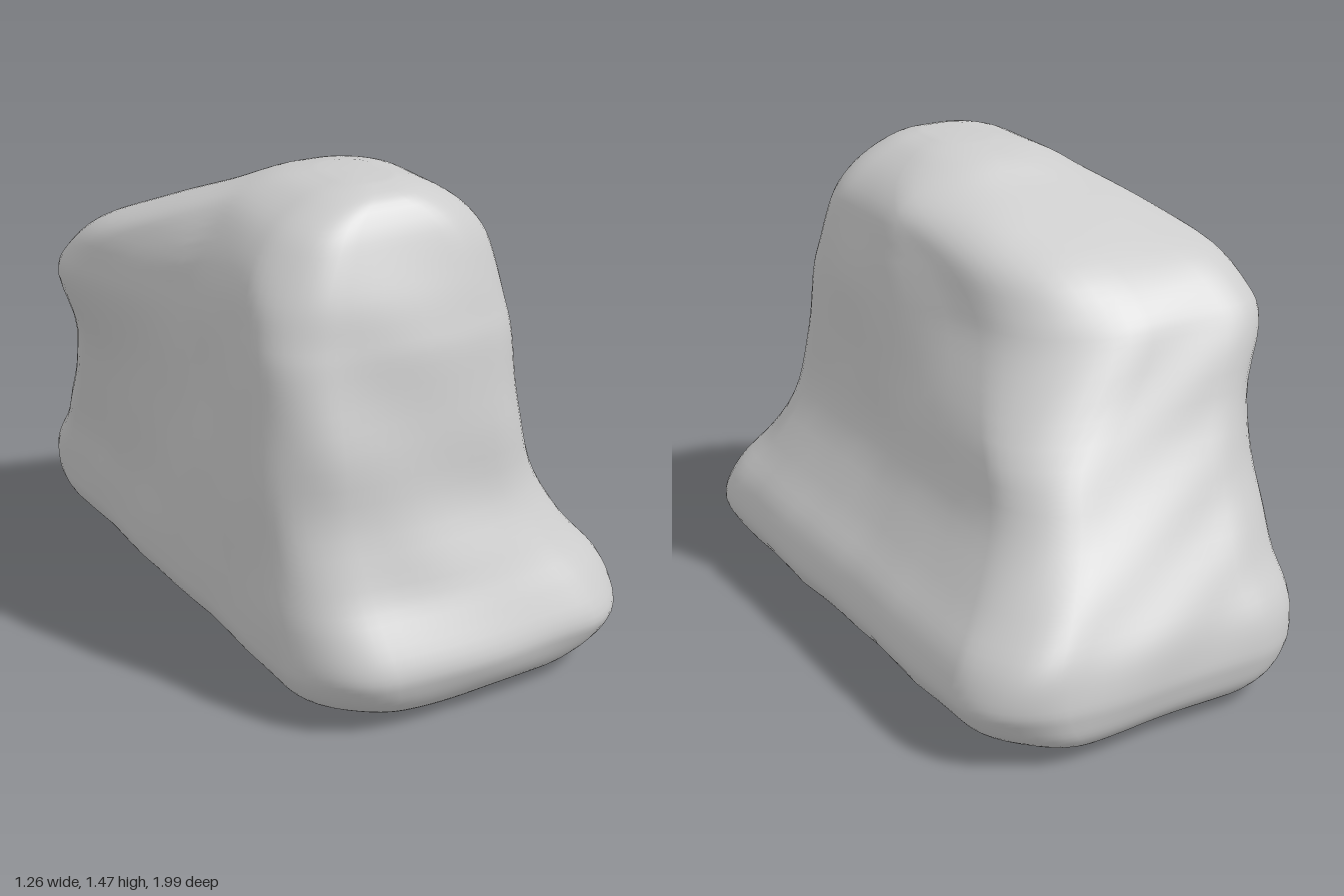
import * as THREE from 'three';
import { mergeVertices } from 'three/addons/utils/BufferGeometryUtils.js';

// Horizontal sections: y, xMin, xMax, zMin, zMax, corner radius, rear lean
const SECTIONS = [
  [0.022, -0.28, 0.34, -0.82, 0.82, 0.16, 0],
  [0.035, -0.38, 0.46, -0.92, 0.90, 0.20, 0],
  [0.08, -0.45, 0.56, -0.97, 0.95, 0.23, 0],
  [0.14, -0.485, 0.61, -0.99, 0.98, 0.24, 0],
  [0.20, -0.495, 0.625, -0.995, 0.985, 0.24, 0],
  [0.30, -0.50, 0.59, -0.97, 0.94, 0.23, 0],
  [0.42, -0.50, 0.50, -0.90, 0.87, 0.22, 0],
  [0.60, -0.50, 0.40, -0.78, 0.80, 0.20, 0.04],
  [0.80, -0.49, 0.375, -0.66, 0.76, 0.19, 0.13],
  [1.00, -0.48, 0.37, -0.57, 0.72, 0.18, 0.30],
  [1.10, -0.47, 0.36, -0.51, 0.69, 0.18, 0.33],
  [1.20, -0.45, 0.34, -0.40, 0.66, 0.18, 0.33],
  [1.30, -0.40, 0.31, -0.20, 0.62, 0.18, 0.32],
  [1.38, -0.33, 0.24, -0.02, 0.58, 0.16, 0.2],
  [1.44, -0.22, 0.14, 0.10, 0.53, 0.13, 0],
  [1.465, -0.11, 0.05, 0.22, 0.45, 0.06, 0],
];

// Smooth value of every column between neighbouring sections
function sectionAt(t) {
  const last = SECTIONS.length - 1;
  const i = Math.min(Math.floor(t), last - 1), f = t - i;
  const at = (k) => SECTIONS[Math.max(0, Math.min(last, k))];
  return SECTIONS[0].map((_, c) => {
    const a = at(i - 1)[c], b = at(i)[c], d = at(i + 1)[c], e = at(i + 2)[c];
    const m0 = (d - a) / 2, m1 = (e - b) / 2;
    return b + f * (m0 + f * (3 * (d - b) - 2 * m0 - m1 + f * (2 * (b - d) + m0 + m1)));
  });
}

// Gentle weathering, varying smoothly over the surface
function wobble(x, y, z) {
  return 0.007 * Math.sin(9 * x + 5 * y + 2) * Math.sin(8 * z - 4 * y)
    + 0.005 * Math.sin(17 * z + 6 * x) * Math.cos(15 * y + 8 * x);
}

// Rounded rectangle, softer and leaning to one side at the rear
function ring([y, x0, x1, z0, z1, r, lean]) {
  const ARC = 10, EDGE = 12;
  const mid = Math.max(0, Math.cos((y - 0.85) * 2.6));
  const upper = Math.max(0, Math.cos((y - 1.12) * 4));
  const rearRight = r + 0.06 * mid, rearLeft = r + 0.13 * upper;
  const corners = [
    [x1 - r, z1 - r, r], [x0 + r, z1 - r, r],
    [x0 + rearRight, z0 + rearRight, rearRight], [x1 - rearLeft, z0 + rearLeft, rearLeft],
  ];
  const flat = [];
  corners.forEach(([cx, cz, cr], k) => {
    for (let i = 0; i <= ARC; i++) {
      const a = (k + i / ARC) * Math.PI / 2;
      flat.push([cx + cr * Math.cos(a), cz + cr * Math.sin(a)]);
    }
    const from = flat[flat.length - 1], [nx, nz, nr] = corners[(k + 1) % 4];
    const a = (k + 1) * Math.PI / 2;
    const to = [nx + nr * Math.cos(a), nz + nr * Math.sin(a)];
    for (let i = 1; i < EDGE; i++) {
      flat.push([0, 1].map((c) => from[c] + (to[c] - from[c]) * i / EDGE));
    }
  });
  const mx = (x0 + x1) / 2, mz = (z0 + z1) / 2;
  return flat.map(([x, z]) => {
    const side = Math.max(0, (x - mx) / (x1 - mx));
    const shift = -lean * Math.max(0, 0.12 - z) * (1 - 0.6 * side * (1 - upper));
    // Hollow in the wall above the wide ledge
    const hollow = 0.03 * upper * side * Math.exp(-(((z + 0.15) / 0.22) ** 2));
    // Bowed front and back
    const bow = (z > mz ? 0.06 : 0.02) * (Math.cos((x - mx) * 2.5) - 1) * (z - mz) / (z1 - mz);
    const s = 1 + wobble(x, y, z) * 1.3;
    return [mx + (x - mx) * s + shift - hollow, y, mz + (z - mz) * s + bow];
  });
}

function boulderGeometry() {
  const STEPS = 4, pos = [], index = [];
  const rows = (SECTIONS.length - 1) * STEPS;
  let n = 0;
  for (let j = 0; j <= rows; j++) {
    const points = ring(sectionAt(j / STEPS));
    n = points.length;
    points.forEach((p) => pos.push(...p));
  }
  for (let j = 0; j < rows; j++) {
    for (let i = 0; i < n; i++) {
      const a = j * n + i, b = j * n + (i + 1) % n;
      index.push(a, a + n, b, b, a + n, b + n);
    }
  }
  // Underside and crown caps
  const bottom = pos.length / 3;
  pos.push(0.03, 0, 0, -0.03, 1.47, 0.33);
  for (let i = 0; i < n; i++) {
    const k = (i + 1) % n;
    index.push(bottom, i, k, bottom + 1, rows * n + k, rows * n + i);
  }
  let geometry = new THREE.BufferGeometry();
  geometry.setAttribute('position', new THREE.Float32BufferAttribute(pos, 3));
  geometry.setIndex(index);
  geometry = mergeVertices(geometry, 1e-5);
  geometry.computeVertexNormals();
  return geometry;
}

export function createModel() {
  const group = new THREE.Group();
  group.name = 'rock';
  const boulder = new THREE.Mesh(boulderGeometry(), new THREE.MeshStandardMaterial({ color: 0xcccccc }));
  boulder.name = 'boulder';
  group.add(boulder);
  return group;
}
